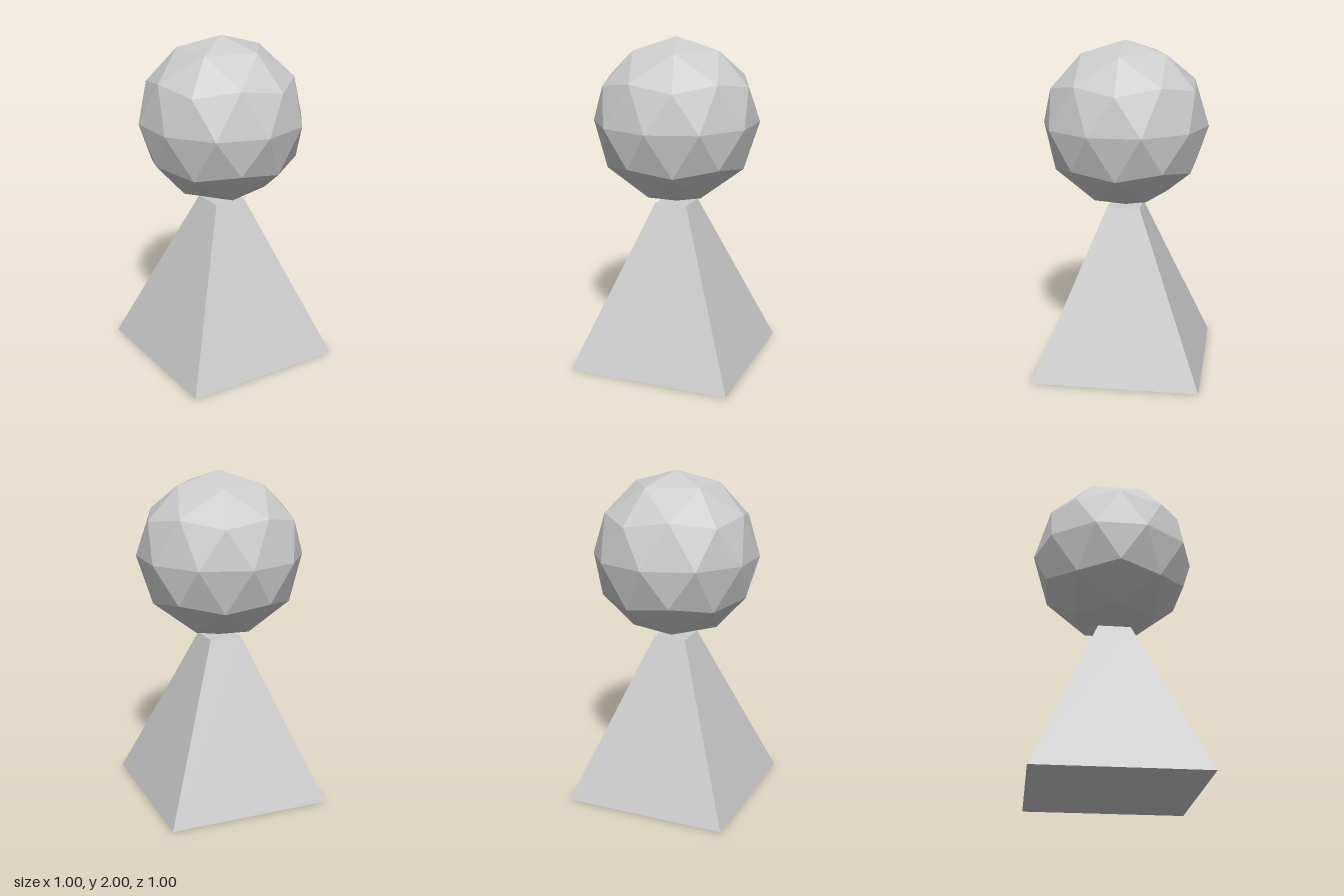
import * as THREE from 'three';

export function createModel() {
  const model = new THREE.Group();
  const grey = new THREE.MeshStandardMaterial({ color: 0xcccccc, flatShading: true });

  const addPart = (name, geometry, y) => {
    const mesh = new THREE.Mesh(geometry, grey);
    mesh.name = name;
    mesh.position.y = y;
    model.add(mesh);
  };

  // Square tapered pedestal: 1 wide at the foot, 0.2 wide at the top
  const pedestal = new THREE.CylinderGeometry(0.1 * Math.SQRT2, 0.5 * Math.SQRT2, 1, 4);
  pedestal.rotateY(Math.PI / 4);
  addPart('pedestal', pedestal, 0.5);

  // Faceted ball, turned so that a corner stands at each pole
  const goldenRatio = (1 + Math.sqrt(5)) / 2;
  const ball = new THREE.IcosahedronGeometry(0.5, 1);
  ball.rotateZ(-Math.atan(1 / goldenRatio));
  addPart('ball', ball, 1.5);

  return model;
}
